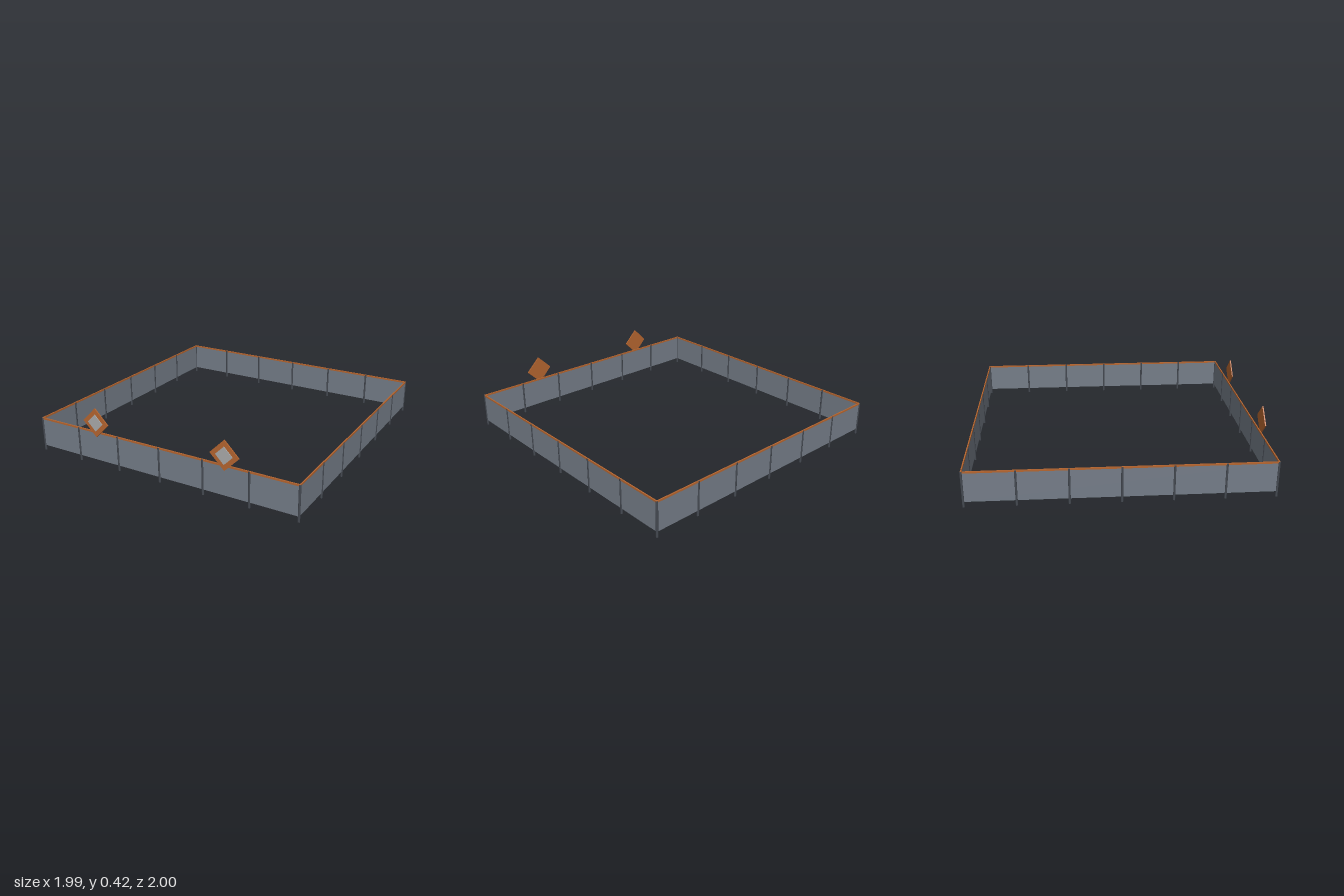
import * as THREE from 'three';

const mat = (color) => new THREE.MeshStandardMaterial({ color });

export function createModel() {
  const root = new THREE.Group();
  const slate = mat(0x747c87), dark = mat(0x454a52), orange = mat(0xb5652f), pale = mat(0xaaaaaa);
  const half = 0.985, bays = 6, step = (2 * half) / bays;

  function add(parent, name, geometry, material, x, y, z) {
    const mesh = new THREE.Mesh(geometry, material);
    mesh.name = name;
    mesh.position.set(x, y, z);
    parent.add(mesh);
    return mesh;
  }

  // Square fence, one side turned four times
  const fence = new THREE.Group();
  fence.name = 'fence';
  fence.position.z = -0.007;
  root.add(fence);
  const panelGeo = new THREE.BoxGeometry(2 * half, 0.2, 0.005);
  const railGeo = new THREE.BoxGeometry(2 * half + 0.008, 0.012, 0.008);
  const postGeo = new THREE.CylinderGeometry(0.008, 0.008, 0.245, 8);
  for (let s = 0; s < 4; s++) {
    const side = new THREE.Group();
    side.name = 'fenceSide';
    side.rotation.y = (s * Math.PI) / 2;
    fence.add(side);
    add(side, 'panel', panelGeo, slate, 0, 0.137, half);
    add(side, 'topRail', railGeo, orange, 0, 0.24, half);
    // The last post of each side belongs to the next one
    for (let i = 0; i < bays; i++) add(side, 'post', postGeo, dark, -half + i * step, 0.1225, half);
  }

  // Diamond warning signs on the front side
  const boardGeo = new THREE.BoxGeometry(0.145, 0.145, 0.008);
  const plateGeo = new THREE.BoxGeometry(0.085, 0.085, 0.006);
  for (const x of [-0.4925, 0.4925]) {
    const sign = new THREE.Group();
    sign.name = 'sign';
    sign.position.set(x, 0.315, 0);
    sign.rotation.z = Math.PI / 4;
    root.add(sign);
    add(sign, 'signBoard', boardGeo, orange, 0, 0, 0.991);
    add(sign, 'signPlate', plateGeo, pale, 0, 0, 0.997);
  }
  return root;
}
